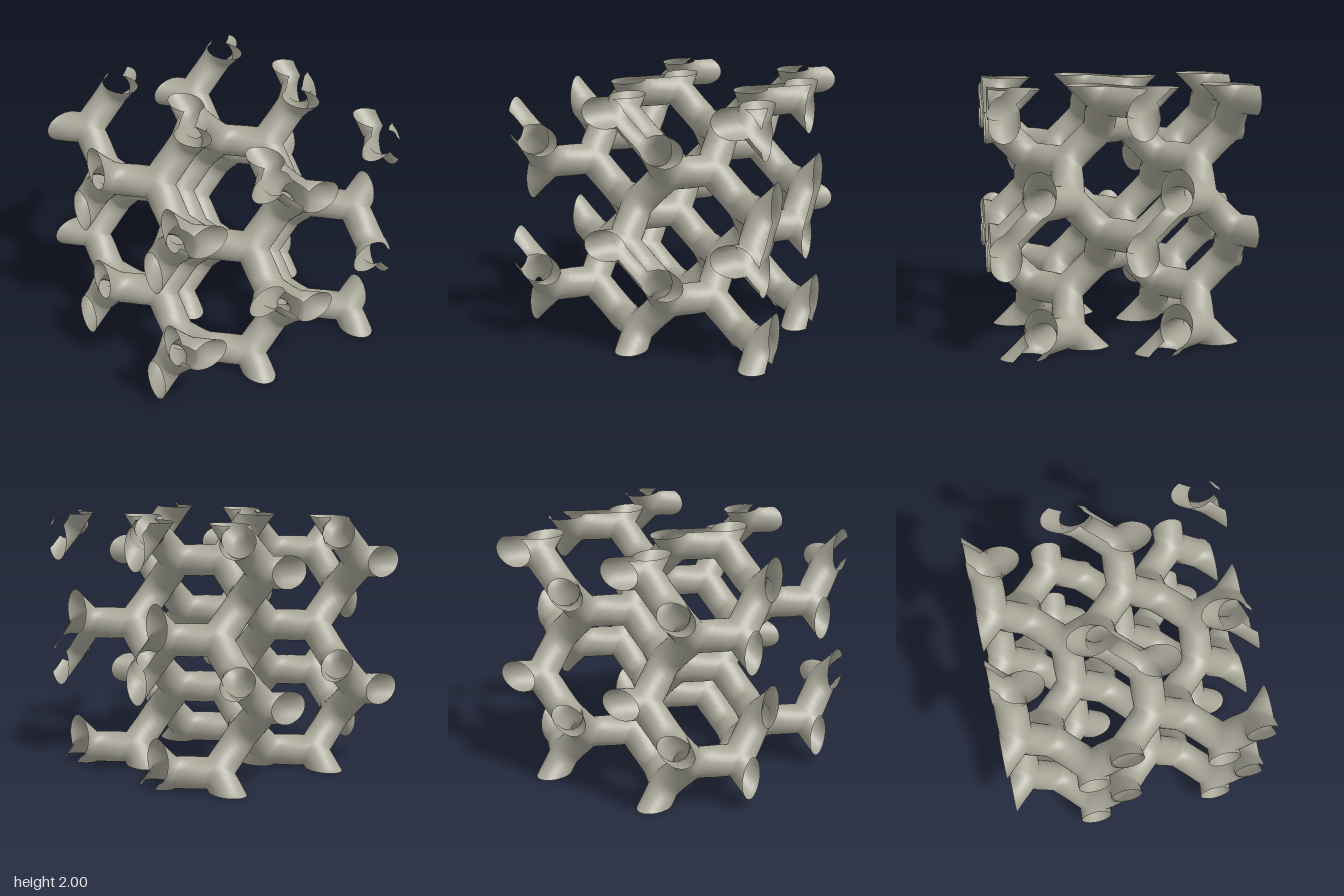
import * as THREE from 'three';

const PERIOD = 2 / 1.98;     // size of one lattice cell
const RADIUS = 0.12;         // mean tube radius, in cells
const OVAL = 0.003;          // how oval the middle of a strut is
const SEGMENTS = 40;
const HALF = Math.SQRT2 / 8; // half a strut, in cells
const ROWS = [0, 0.25, 0.6, 1]; // rings from joint to midpoint

// Gyroid function: its deepest points are the joints of the network
const gyroid = (p) => {
  const [a, b, c] = p.toArray().map((t) => t * 2 * Math.PI);
  return Math.sin(a) * Math.cos(b) + Math.sin(b) * Math.cos(c) + Math.sin(c) * Math.cos(a);
};
const isJoint = (p) => gyroid(p) < -1.4;

// The twelve possible strut directions (edge diagonals)
function strutDirections() {
  const list = [];
  for (let axis = 0; axis < 3; axis++)
    for (const s of [-1, 1])
      for (const t of [-1, 1]) {
        const v = [0, 0, 0];
        v[axis] = s;
        v[(axis + 1) % 3] = t;
        list.push(new THREE.Vector3(...v).normalize());
      }
  return list;
}

// Keep the part of a polygon where sign * coordinate <= limit
function clip(poly, axis, sign, limit) {
  const out = [];
  poly.forEach((a, i) => {
    const b = poly[(i + 1) % poly.length];
    const da = limit - sign * a[axis];
    const db = limit - sign * b[axis];
    if (da >= 0) out.push(a);
    if ((da > 0 && db < 0) || (da < 0 && db > 0)) {
      const t = da / (da - db);
      out.push(a.map((v, k) => v + (b[k] - v) * t));
    }
  });
  return out;
}

// Half a strut from a joint to its midpoint, mitred against the two other struts
function halfStrut(joint, d, dj, dk, emit) {
  const n = dj.clone().sub(dk).normalize();
  const m = d.clone().cross(n);
  // Twist towards the coordinate axis square to the strut, so both halves share the middle ring
  const axis = new THREE.Vector3(...d.toArray().map((v) => (Math.abs(v) < 0.1 ? 1 : 0)));
  const twist = Math.atan(m.dot(axis) / n.dot(axis));
  const radial = (angle) =>
    n.clone().multiplyScalar(Math.cos(angle)).addScaledVector(m, Math.sin(angle));

  const column = (i) => {
    const angle = (i / SEGMENTS) * Math.PI * 2;
    const c = Math.cos(angle);
    const start = (RADIUS * Math.abs(c)) / Math.sqrt(3);
    // Normal shared by the two struts that meet at the joint
    const seam = radial(angle).multiplyScalar(2 * RADIUS).addScaledVector(d, 2 * start)
      .addScaledVector(c > 0 ? dk : dj, start).normalize();
    return ROWS.map((t) => {
      const q = radial(angle + twist * t);
      const p = q.clone().multiplyScalar(RADIUS + OVAL * Math.cos(2 * angle) * t)
        .addScaledVector(d, start + (HALF - start) * t)
        .add(joint).multiplyScalar(PERIOD).subScalar(1);
      const normal = seam.clone().lerp(q, Math.sin((t * Math.PI) / 2)).normalize();
      return [...p.toArray(), ...normal.toArray()];
    });
  };
  for (let i = 0; i < SEGMENTS; i++) {
    const a = column(i), b = column((i + 1) % SEGMENTS);
    for (let r = 0; r + 1 < ROWS.length; r++) {
      emit([a[r], b[r], b[r + 1]]);
      emit([a[r], b[r + 1], a[r + 1]]);
    }
  }
}

export function createModel() {
  const positions = [], normals = [];

  // Trim each face to the cube and fan it into triangles
  const emit = (poly) => {
    for (let axis = 0; axis < 3; axis++)
      for (const sign of [-1, 1]) poly = clip(poly, axis, sign, 1);
    for (let i = 1; i + 1 < poly.length; i++)
      for (const v of [poly[0], poly[i], poly[i + 1]]) {
        positions.push(v[0], v[1] + 1, v[2]);
        normals.push(v[3], v[4], v[5]);
      }
  };

  // Visit every joint in and just around the cube; three struts leave each one
  const directions = strutDirections();
  for (let i = -3; i <= 19; i += 2)
    for (let j = -3; j <= 19; j += 2)
      for (let k = -3; k <= 19; k += 2) {
        const joint = new THREE.Vector3(i, j, k).divideScalar(8);
        if (!isJoint(joint)) continue;
        const arms = directions.filter((d) => isJoint(joint.clone().addScaledVector(d, 2 * HALF)));
        arms.forEach((d, a) => halfStrut(joint, d, arms[(a + 1) % 3], arms[(a + 2) % 3], emit));
      }

  const geometry = new THREE.BufferGeometry();
  geometry.setAttribute('position', new THREE.Float32BufferAttribute(positions, 3));
  geometry.setAttribute('normal', new THREE.Float32BufferAttribute(normals, 3));
  const lattice = new THREE.Mesh(
    geometry,
    new THREE.MeshStandardMaterial({ color: 0xa8a698, side: THREE.DoubleSide })
  );
  lattice.name = 'gyroidLattice';

  const group = new THREE.Group();
  group.name = 'latticeCube';
  group.add(lattice);
  return group;
}
